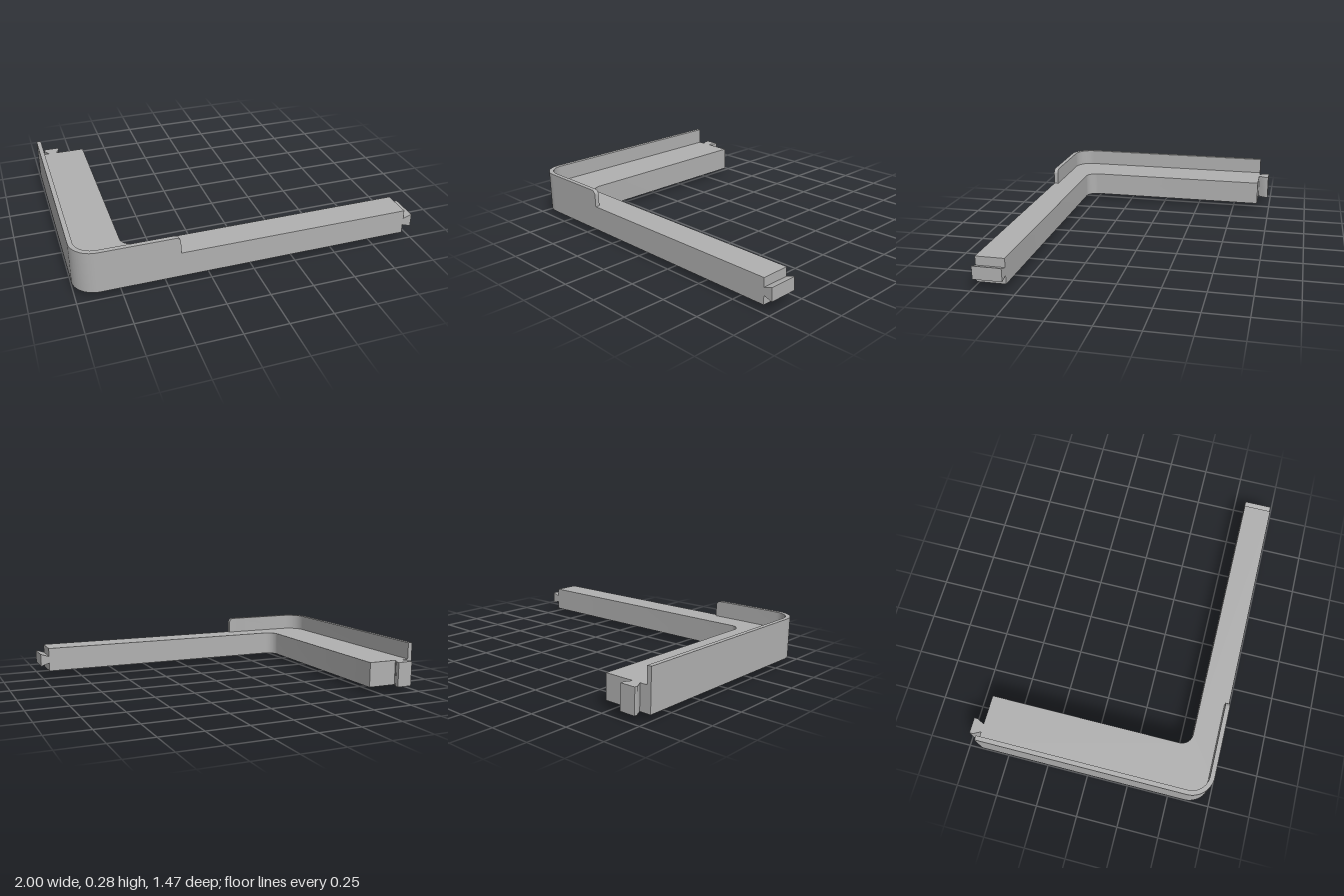
import * as THREE from 'three';
import { toCreasedNormals } from 'three/addons/utils/BufferGeometryUtils.js';

const BOTTOM = 0.035, DECK = 0.185, TOP = 0.285;
const FRONT = 0.733, BACK = -0.667, END = 0.947; // outer faces of the two arms
const INNER_X = -0.703, INNER_Z = 0.563;         // inner faces of the two arms
const R = 0.135, WALL = 0.027, RIM_END = -0.417;

const grey = new THREE.MeshStandardMaterial({ color: 0xb0b0b0 });
grey.name = 'grey';

function extrude(shape, depth) {
  const geo = new THREE.ExtrudeGeometry(shape, { depth, bevelEnabled: false, curveSegments: 16 });
  return toCreasedNormals(geo, 0.5);
}

// Plan shapes are drawn in (x, -z) and raised from y0 to y1
function plan(shape, y0, y1) {
  return extrude(shape, y1 - y0).rotateX(-Math.PI / 2).translate(0, y0, 0);
}

// Dovetail profile growing along +x from its neck
function dovetail(length, neck, wide, lip) {
  return new THREE.Shape([
    [0, -neck], [length - lip, -wide], [length, -wide],
    [length, wide], [length - lip, wide], [0, neck],
  ].map(([x, y]) => new THREE.Vector2(x, y)));
}

export function createModel() {
  const group = new THREE.Group();
  group.name = 'cornerBracket';
  const add = (name, geo) => {
    const mesh = new THREE.Mesh(geo, grey);
    mesh.name = name;
    group.add(mesh);
  };

  // L-shaped body with a rounded outer corner and a filleted inner corner
  const r = 0.07;
  const body = new THREE.Shape();
  body.moveTo(-1, -BACK);
  body.lineTo(-1, -FRONT + R);
  body.absarc(-1 + R, -FRONT + R, R, Math.PI, 1.5 * Math.PI, false);
  body.lineTo(END, -FRONT);
  body.lineTo(END, -INNER_Z);
  body.lineTo(INNER_X + r, -INNER_Z);
  body.absarc(INNER_X + r, -INNER_Z + r, r, 1.5 * Math.PI, Math.PI, true);
  body.lineTo(INNER_X, -BACK);
  body.closePath();
  add('body', plan(body, BOTTOM, DECK));

  // Thin raised wall along the outer edge
  const joint = RIM_END - 0.05;
  const rim = new THREE.Shape();
  rim.moveTo(-1, -BACK);
  rim.lineTo(-1, -FRONT + R);
  rim.absarc(-1 + R, -FRONT + R, R, Math.PI, 1.5 * Math.PI, false);
  rim.lineTo(joint, -FRONT);
  rim.lineTo(joint, -FRONT + WALL);
  rim.lineTo(-1 + R, -FRONT + WALL);
  rim.absarc(-1 + R, -FRONT + R, R - WALL, 1.5 * Math.PI, Math.PI, true);
  rim.lineTo(-1 + WALL, -BACK);
  rim.closePath();
  add('rim', plan(rim, DECK, TOP));

  // Front end of the wall, with a rounded top corner
  const c = 0.03;
  const tip = new THREE.Shape();
  tip.moveTo(joint, DECK);
  tip.lineTo(RIM_END, DECK);
  tip.lineTo(RIM_END, TOP - c);
  tip.absarc(RIM_END - c, TOP - c, c, 0, Math.PI / 2, false);
  tip.lineTo(joint, TOP);
  tip.closePath();
  add('rimEnd', extrude(tip, WALL).translate(0, 0, FRONT - WALL));

  // Horizontal dovetail on the long arm
  add('sideDovetail', extrude(dovetail(1 - END, 0.022, 0.039, 0.003), FRONT - INNER_Z)
    .translate(END, (BOTTOM + DECK) / 2, INNER_Z));

  // Upright dovetail on the back arm
  add('backDovetail', plan(dovetail(0.066, 0.024, 0.047, 0.022).clone(), 0, DECK - BOTTOM)
    .rotateY(Math.PI / 2).translate(-0.906, BOTTOM, BACK));

  // Locating peg under the corner, with a slightly chamfered tip
  const peg = new THREE.LatheGeometry([[0, 0], [0.024, 0], [0.029, 0.005], [0.029, BOTTOM]]
    .map(([x, y]) => new THREE.Vector2(x, y)), 32);
  add('peg', toCreasedNormals(peg, 0.5).translate(-0.906, 0, 0.645));

  return group;
}
